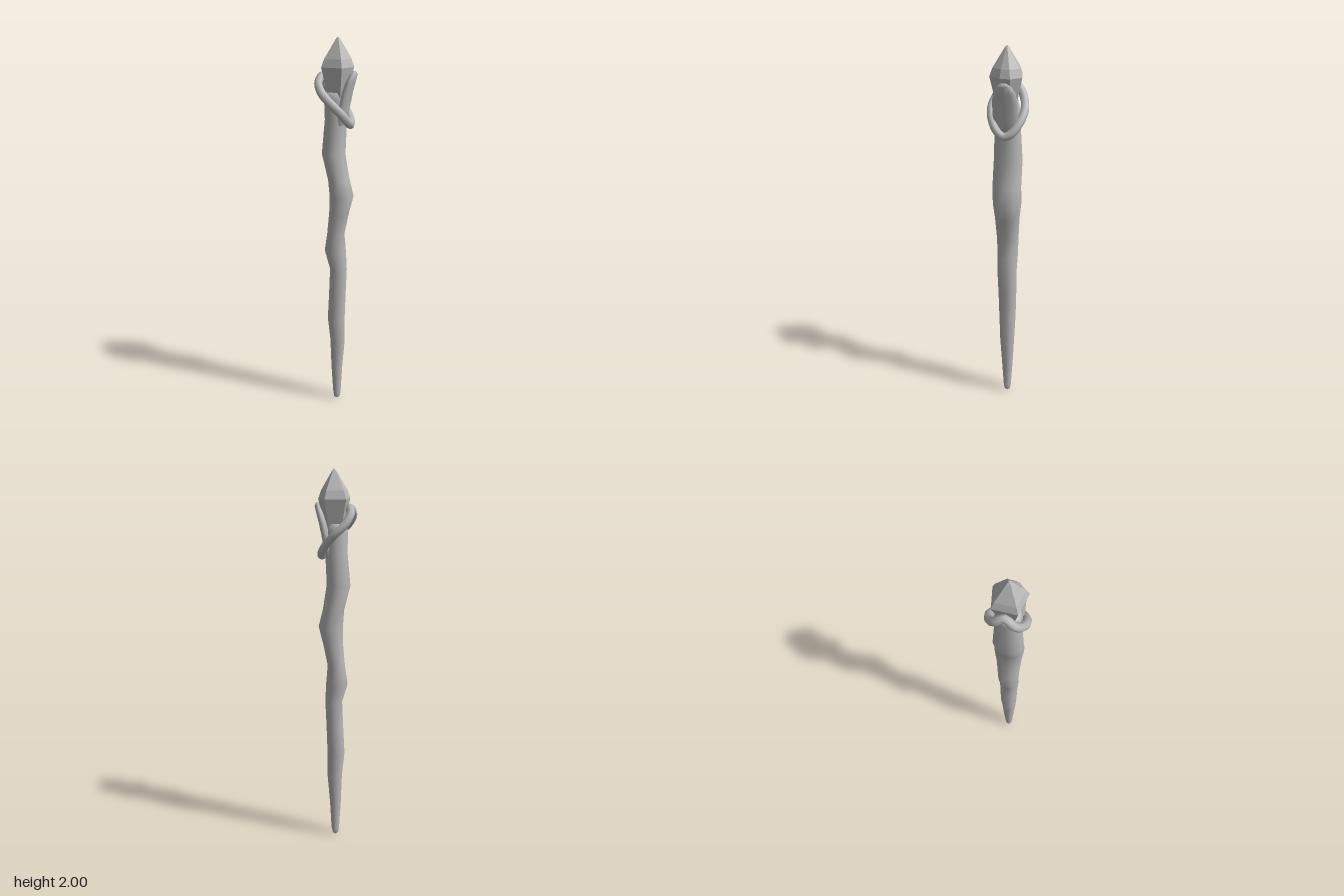
import * as THREE from 'three';

// Closed surface through horizontal rings of points, listed bottom to top
function loft(rings) {
  const n = rings[0].length, pos = [], idx = [];
  rings.forEach(r => r.forEach(p => pos.push(...p)));
  for (let k = 0; k < rings.length - 1; k++) {
    for (let i = 0; i < n; i++) {
      const a = k * n + i, b = k * n + (i + 1) % n;
      idx.push(a, a + n, b, b, a + n, b + n);
    }
  }
  const top = (rings.length - 1) * n;
  for (let i = 1; i < n - 1; i++) {
    idx.push(0, i, i + 1);
    idx.push(top, top + i + 1, top + i);
  }
  const g = new THREE.BufferGeometry();
  g.setAttribute('position', new THREE.Float32BufferAttribute(pos, 3));
  g.setIndex(idx);
  g.computeVertexNormals();
  return g;
}

// Elliptical ring from left, right, back and front limits
function oval(y, x0, x1, z0, z1, sides = 10) {
  return Array.from({ length: sides }, (_, i) => {
    const a = i / sides * Math.PI * 2;
    return [(x0 + x1) / 2 + (x1 - x0) / 2 * Math.cos(a), y,
      (z0 + z1) / 2 + (z1 - z0) / 2 * Math.sin(a)];
  });
}

export function createModel() {
  const group = new THREE.Group();
  const grey = new THREE.MeshStandardMaterial({ color: 0xb8b8b8 });
  grey.name = 'grey';
  const add = (name, geometry) => {
    const mesh = new THREE.Mesh(geometry, grey);
    mesh.name = name;
    group.add(mesh);
  };

  // Gnarled shaft: height, left, right, back, front
  add('shaft', loft([
    [0, -0.007, 0.007, -0.007, 0.007],
    [0.008, -0.016, 0.016, -0.016, 0.016],
    [0.035, -0.021, 0.022, -0.021, 0.021],
    [0.2, -0.031, 0.031, -0.031, 0.031],
    [0.37, -0.037, 0.045, -0.04, 0.04],
    [0.5, -0.051, 0.044, -0.045, 0.045],
    [0.66, -0.043, 0.049, -0.05, 0.048],
    [0.8, -0.037, 0.055, -0.052, 0.052],
    [0.9, -0.066, 0.05, -0.055, 0.054],
    [1.0, -0.052, 0.041, -0.059, 0.057],
    [1.12, -0.041, 0.065, -0.067, 0.062],
    [1.21, -0.04, 0.088, -0.078, 0.07],
    [1.3, -0.046, 0.066, -0.074, 0.075],
    [1.43, -0.078, 0.045, -0.074, 0.073],
    [1.6, -0.062, 0.052, -0.066, 0.064],
    [1.7, -0.065, 0.055, -0.063, 0.063],
    [1.74, -0.055, 0.045, -0.053, 0.053],
  ].map(r => oval(...r))));

  // Rounded prong leaning out beside the crystal
  add('prong', loft([
    [1.58, -0.01, 0.05, -0.055, 0.055],
    [1.66, 0.005, 0.064, -0.065, 0.065],
    [1.74, 0.028, 0.08, -0.064, 0.064],
    [1.79, 0.045, 0.094, -0.056, 0.056],
    [1.825, 0.064, 0.104, -0.037, 0.037],
    [1.84, 0.08, 0.097, -0.016, 0.016],
  ].map(r => oval(...r))));

  // Tilted vine wrapped around the head
  const half = [[-0.083, 1.785, 0.042], [-0.058, 1.737, 0.072], [-0.01, 1.69, 0.083],
    [0.042, 1.632, 0.062], [0.066, 1.59, 0.028]];
  const path = [[-0.074, 1.816, 0], ...half, [0.069, 1.578, 0],
    ...half.map(([x, y, z]) => [x, y, -z]).reverse()];
  const curve = new THREE.CatmullRomCurve3(path.map(p => new THREE.Vector3(...p)), true);
  add('vineRing', new THREE.TubeGeometry(curve, 40, 0.021, 8, true));

  // Faceted crystal on an uneven outline
  const outline = [[0.076, 0.02], [0.042, 0.078], [-0.065, 0.055],
    [-0.065, -0.06], [0.038, -0.08], [0.08, -0.03]];
  const cut = (y, s) => outline.map(([x, z]) => [0.006 + (x - 0.006) * s, y, z * s]);
  const crystal = loft([cut(1.68, 0.5), cut(1.86, 1), cut(1.9, 0.82), cut(1.99, 0.14), cut(2, 0.04)])
    .toNonIndexed();
  crystal.computeVertexNormals();
  add('crystal', crystal);

  return group;
}
